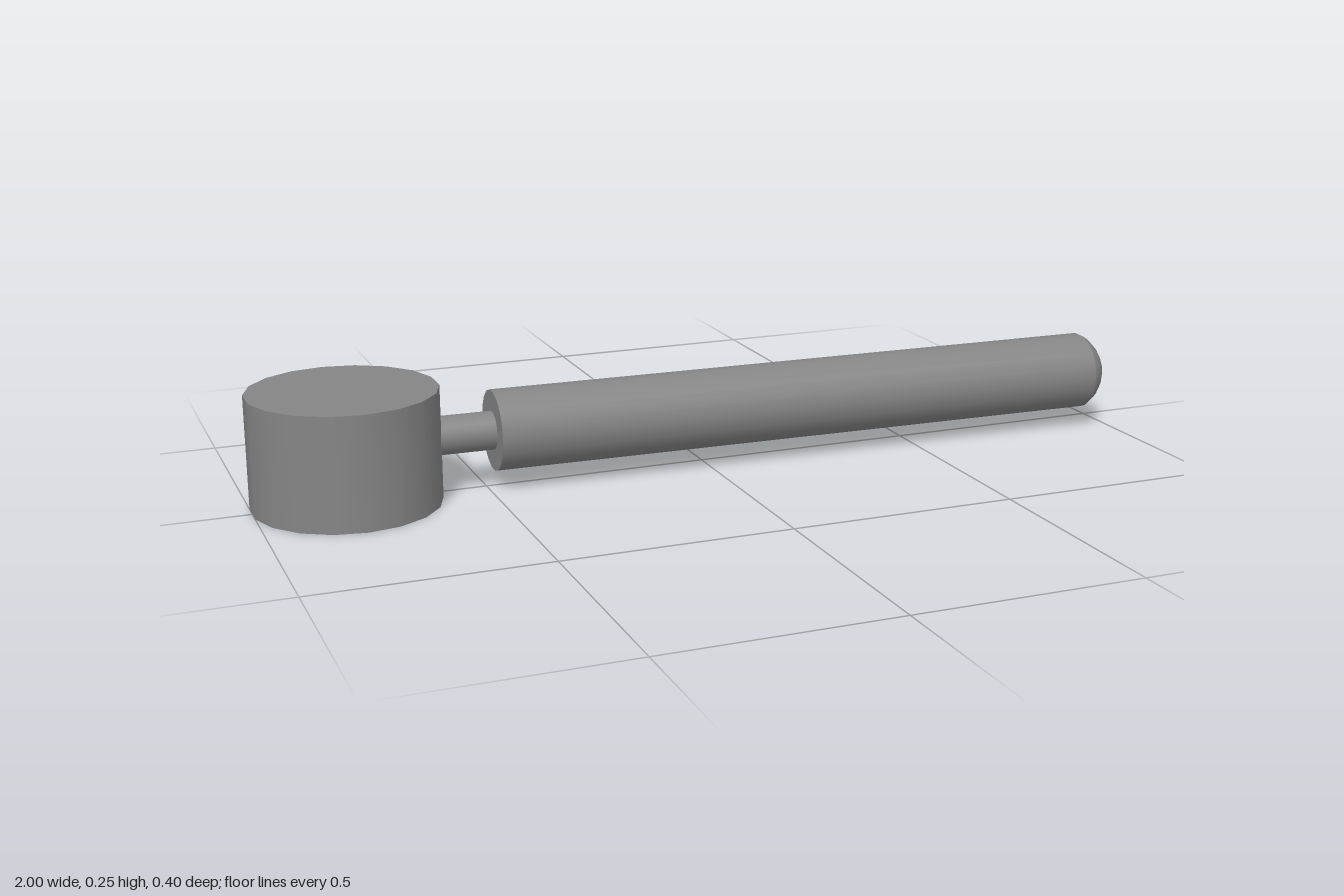
import * as THREE from 'three';

const SIDES = 18;

export function createModel() {
  const model = new THREE.Group();
  const material = new THREE.MeshStandardMaterial({ color: 0x858585 });

  function add(parent, name, geometry, x, y) {
    const mesh = new THREE.Mesh(geometry, material);
    mesh.name = name;
    mesh.position.set(x, y, 0);
    parent.add(mesh);
  }

  // Cylinder lying along x, between two distances from the head's axis
  function rod(parent, name, radius, from, to) {
    const geometry = new THREE.CylinderGeometry(radius, radius, to - from, SIDES);
    geometry.rotateZ(-Math.PI / 2);
    add(parent, name, geometry, (from + to) / 2, 0);
  }

  // Upright drum-shaped head
  add(model, 'head', new THREE.CylinderGeometry(0.201, 0.201, 0.246, SIDES), -0.802, 0.123);

  // Handle assembly, swung slightly towards the front about the head's axis
  const handle = new THREE.Group();
  handle.name = 'handle';
  handle.position.set(-0.802, 0.126, 0);
  handle.rotation.y = -0.0246;
  model.add(handle);

  const gripRadius = 0.088;
  const gripEnd = 1.749;
  rod(handle, 'neck', 0.042, 0.15, 0.33);
  rod(handle, 'grip', gripRadius, 0.317, gripEnd);

  // Shallow spherical cap closing the free end, meeting the grip at a crease
  const capDepth = 0.053;
  const capRadius = (gripRadius ** 2 + capDepth ** 2) / (2 * capDepth);
  const cap = new THREE.SphereGeometry(
    capRadius, SIDES, 8, Math.PI / 2, Math.PI * 2, 0, Math.asin(gripRadius / capRadius));
  cap.rotateZ(-Math.PI / 2);
  add(handle, 'endCap', cap, gripEnd + capDepth - capRadius, 0);

  return model;
}
